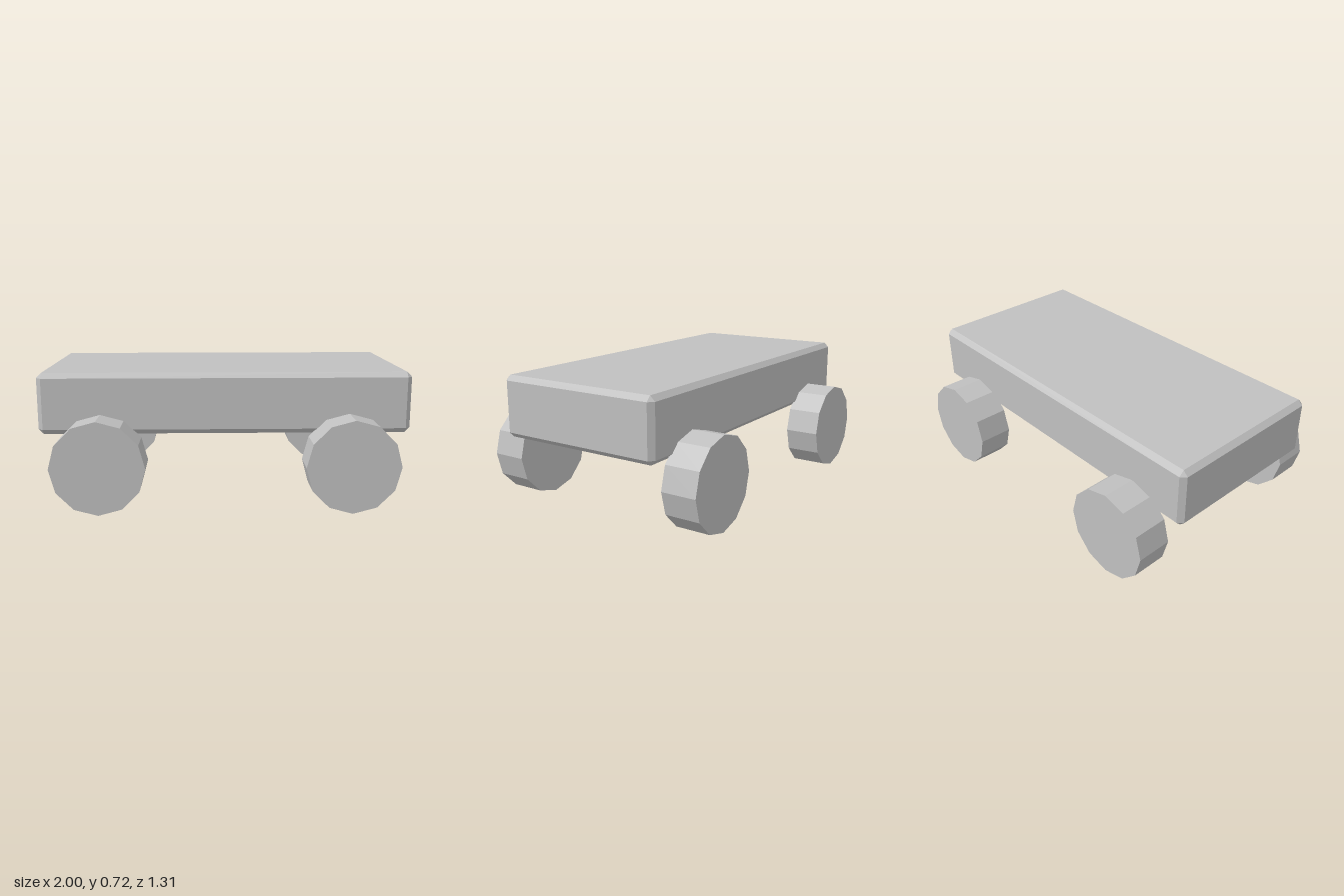
import * as THREE from 'three';
import { ConvexGeometry } from 'three/addons/geometries/ConvexGeometry.js';

// Box with every edge chamfered and every corner cut to a triangle
function chamferedBox(hx, hy, hz, c) {
  const points = [];
  for (const x of [-1, 1]) for (const y of [-1, 1]) for (const z of [-1, 1]) {
    points.push(
      new THREE.Vector3(x * hx, y * (hy - c), z * (hz - c)),
      new THREE.Vector3(x * (hx - c), y * hy, z * (hz - c)),
      new THREE.Vector3(x * (hx - c), y * (hy - c), z * hz),
    );
  }
  return new ConvexGeometry(points);
}

export function createModel() {
  const model = new THREE.Group();
  model.name = 'cart';
  const grey = new THREE.MeshStandardMaterial({ color: 0xc0c0c0 });
  grey.name = 'light grey';
  grey.flatShading = true;

  // Flat slab body
  const body = new THREE.Mesh(chamferedBox(1, 0.165, 0.473, 0.027), grey);
  body.name = 'body';
  body.position.y = 0.557;
  model.add(body);

  // Four twelve-sided wheels
  const wheelGeometry = new THREE.CylinderGeometry(0.25, 0.25, 0.193, 12).rotateX(Math.PI / 2);
  for (const sz of [1, -1]) for (const sx of [1, -1]) {
    const wheel = new THREE.Mesh(wheelGeometry, grey);
    wheel.name = `${sz > 0 ? 'front' : 'back'}${sx > 0 ? 'Left' : 'Right'}Wheel`;
    wheel.position.set(sx * 0.667, 0.25, sz * 0.557);
    model.add(wheel);
  }
  return model;
}
